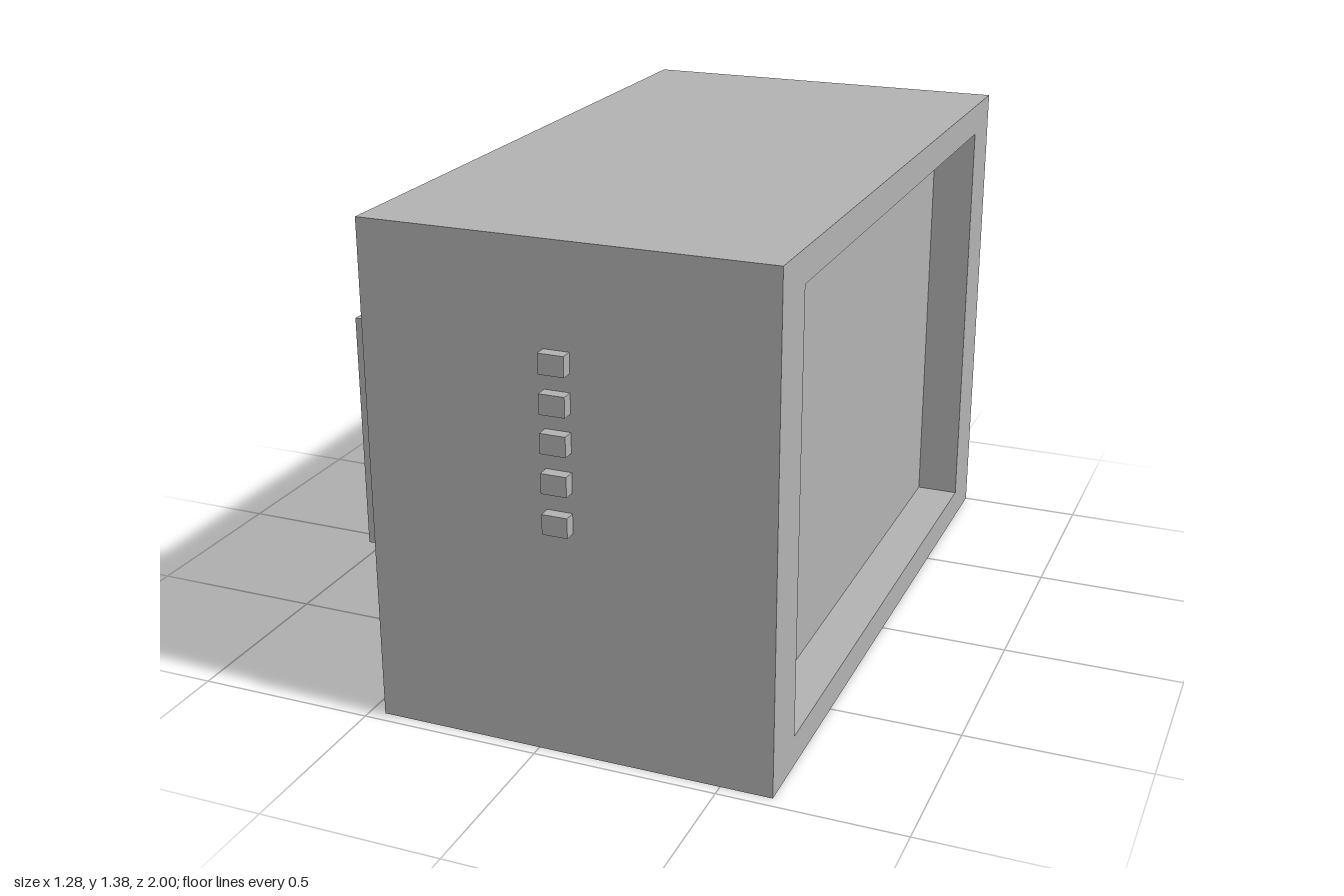
import * as THREE from 'three';

const grey = new THREE.MeshStandardMaterial({ color: 0xb2b2b2 });
grey.name = 'casing grey';

// Box given by its minimum and maximum corners
function box(name, [x0, y0, z0], [x1, y1, z1]) {
  const mesh = new THREE.Mesh(new THREE.BoxGeometry(x1 - x0, y1 - y0, z1 - z0), grey);
  mesh.position.set((x0 + x1) / 2, (y0 + y1) / 2, (z0 + z1) / 2);
  mesh.name = name;
  return mesh;
}

// Rectangle outline traced counter-clockwise
function rectangle(PathType, a0, b0, a1, b1) {
  const path = new PathType();
  path.moveTo(a0, b0);
  path.lineTo(a1, b0);
  path.lineTo(a1, b1);
  path.lineTo(a0, b1);
  path.closePath();
  return path;
}

export function createModel() {
  const model = new THREE.Group();
  model.name = 'monitor';

  const left = -0.458, right = 0.64, top = 1.375, back = -1, front = 0.967;
  const screenX = right - 0.123;

  // Casing, whose +x face is the recessed screen
  model.add(box('casing', [left, 0, back], [screenX, top, front]));

  // Bezel around the screen, drawn in (-z, y) and extruded along x
  const outline = rectangle(THREE.Shape, -front, 0, -back, top);
  outline.holes.push(rectangle(THREE.Path, -0.807, 0.087, 0.837, 1.286));
  const bezel = new THREE.Mesh(
    new THREE.ExtrudeGeometry(outline, { depth: right - screenX, bevelEnabled: false }), grey);
  bezel.rotation.y = Math.PI / 2;
  bezel.position.x = screenX;
  bezel.name = 'screenBezel';
  model.add(bezel);

  // Housing that stands out behind the screen
  model.add(box('rearHousing', [-0.643, 0.355, -0.738], [left, 1.009, 0.699]));

  // Column of control buttons
  const buttons = new THREE.Group();
  buttons.name = 'buttons';
  [1.074, 0.971, 0.869, 0.764, 0.655].forEach((y, i) => {
    buttons.add(box(`button${i + 1}`, [0.04, y - 0.027, front], [0.109, y + 0.027, 1]));
  });
  model.add(buttons);

  return model;
}
